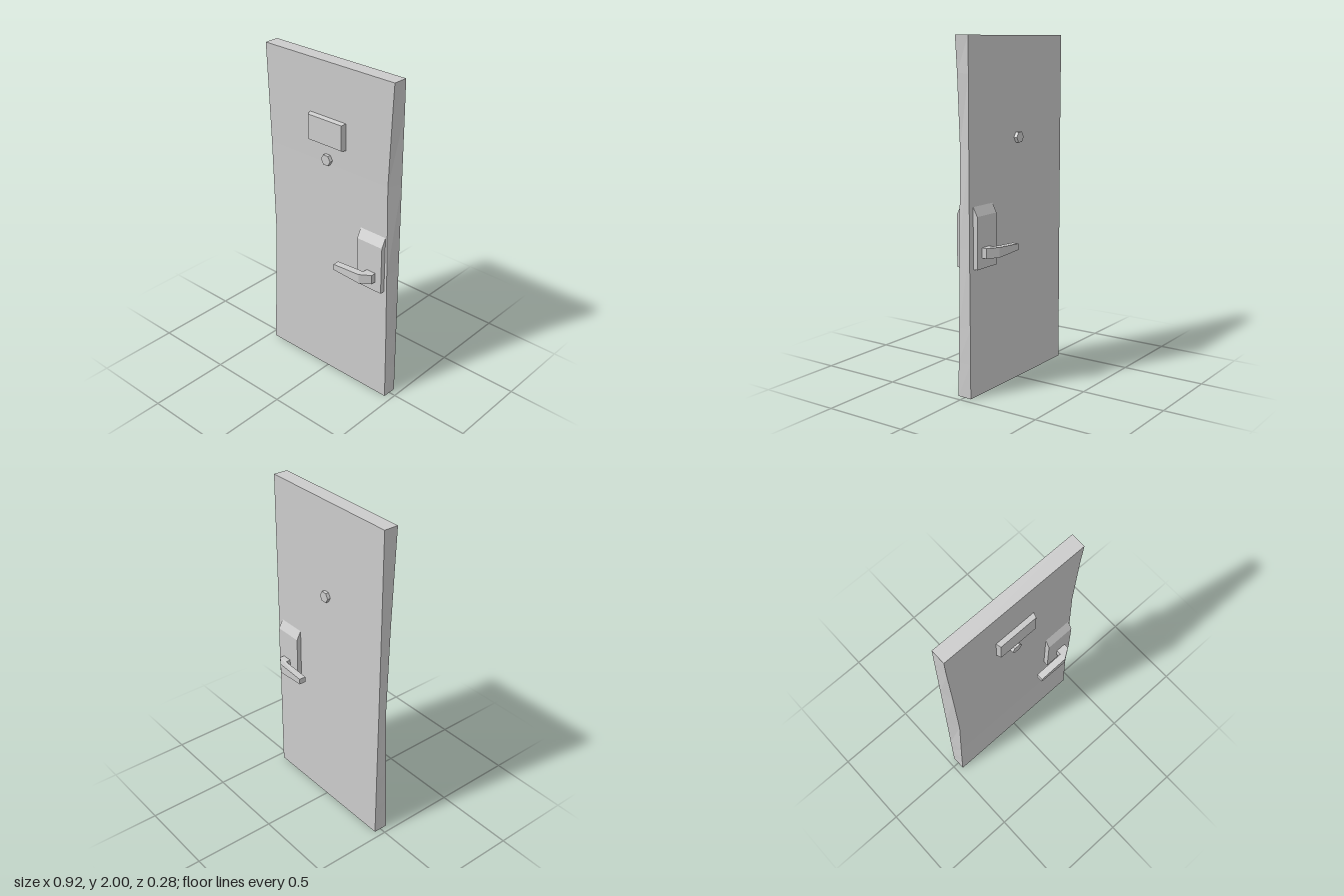
import * as THREE from 'three';

const material = new THREE.MeshStandardMaterial({ color: 0xcccccc, flatShading: true });

function addMesh(group, name, geometry) {
  const mesh = new THREE.Mesh(geometry, material);
  mesh.name = name;
  group.add(mesh);
  return mesh;
}

function polygon(points) {
  return new THREE.Shape(points.map(([x, y]) => new THREE.Vector2(x, y)));
}

// Door slab: square back edges, front edges pinched in along the height
function doorGeometry() {
  // y, left front x, right front x, front z, back z
  const rows = [
    [0, -0.46, 0.457, 0.045, -0.043],
    [0.2, -0.454, 0.454, 0.043, -0.043],
    [0.4, -0.446, 0.45, 0.041, -0.043],
    [0.85, -0.43, 0.441, 0.04, -0.042],
    [1.4, -0.442, 0.429, 0.04, -0.042],
    [1.8, -0.455, 0.446, 0.042, -0.043],
    [2, -0.46, 0.457, 0.045, -0.043],
  ];
  const positions = [];
  const index = [];
  for (const [y, left, right, front, back] of rows) {
    positions.push(left, y, front, right, y, front, 0.459, y, back, -0.46, y, back);
  }
  for (let r = 0; r < rows.length - 1; r++) {
    for (let i = 0; i < 4; i++) {
      const a = r * 4 + i, b = r * 4 + (i + 1) % 4;
      index.push(a, b, b + 4, a, b + 4, a + 4);
    }
  }
  const t = (rows.length - 1) * 4;
  index.push(0, 3, 2, 0, 2, 1, t, t + 1, t + 2, t, t + 2, t + 3);
  const geometry = new THREE.BufferGeometry();
  geometry.setAttribute('position', new THREE.Float32BufferAttribute(positions, 3));
  geometry.setIndex(index);
  const flat = geometry.toNonIndexed();
  flat.computeVertexNormals();
  return flat;
}

// Lock plate with a sloping top, extruded across x; side is 1 front, -1 back
function lockPlateGeometry(side) {
  const profile = [[0.035, 0.735], [0.07, 0.735], [0.07, 1.03], [0.035, 1.095]];
  const shape = polygon(profile.map(([z, y]) => [-z * side, y]));
  const geometry = new THREE.ExtrudeGeometry(shape, { depth: 0.178, bevelEnabled: false });
  return geometry.rotateY(Math.PI / 2).translate(0.246, 0, 0);
}

// Bent lever, thinner in height towards its tip
function leverGeometry(side) {
  const outline = [
    [0.382, 0.06], [0.382, 0.1], [0.32, 0.142], [0.132, 0.142],
    [0.132, 0.1], [0.32, 0.1], [0.32, 0.06],
  ];
  const shape = polygon(outline.map(([x, z]) => [x, z * side]));
  const geometry = new THREE.ExtrudeGeometry(shape, { depth: 2, bevelEnabled: false });
  geometry.rotateX(Math.PI / 2).translate(0, 1, 0);
  const p = geometry.attributes.position;
  for (let i = 0; i < p.count; i++) {
    const k = Math.min(1, (p.getX(i) - 0.132) / 0.188);
    p.setY(i, 0.824 + p.getY(i) * (0.018 + 0.011 * k));
  }
  geometry.computeVertexNormals();
  return geometry;
}

// Name plate with sides tapering to the front
function namePlateGeometry() {
  const geometry = new THREE.BoxGeometry(0.264, 0.164, 0.035);
  const p = geometry.attributes.position;
  for (let i = 0; i < p.count; i++) {
    if (p.getZ(i) > 0) p.setXY(i, p.getX(i) * 0.93, p.getY(i) * 0.91);
  }
  geometry.computeVertexNormals();
  return geometry.translate(0, 1.6, 0.0525);
}

export function createModel() {
  const door = new THREE.Group();
  door.name = 'door';
  addMesh(door, 'doorSlab', doorGeometry());
  addMesh(door, 'namePlate', namePlateGeometry());

  // Hexagonal peephole passing through the slab
  const peephole = new THREE.CylinderGeometry(0.034, 0.034, 0.124, 6);
  peephole.rotateY(Math.PI / 6).rotateX(Math.PI / 2).translate(0, 1.428, 0);
  addMesh(door, 'peephole', peephole);

  // Matching lock plate and lever on both faces
  for (const [label, side] of [['front', 1], ['back', -1]]) {
    addMesh(door, label + 'LockPlate', lockPlateGeometry(side));
    addMesh(door, label + 'Lever', leverGeometry(side));
  }
  return door;
}
